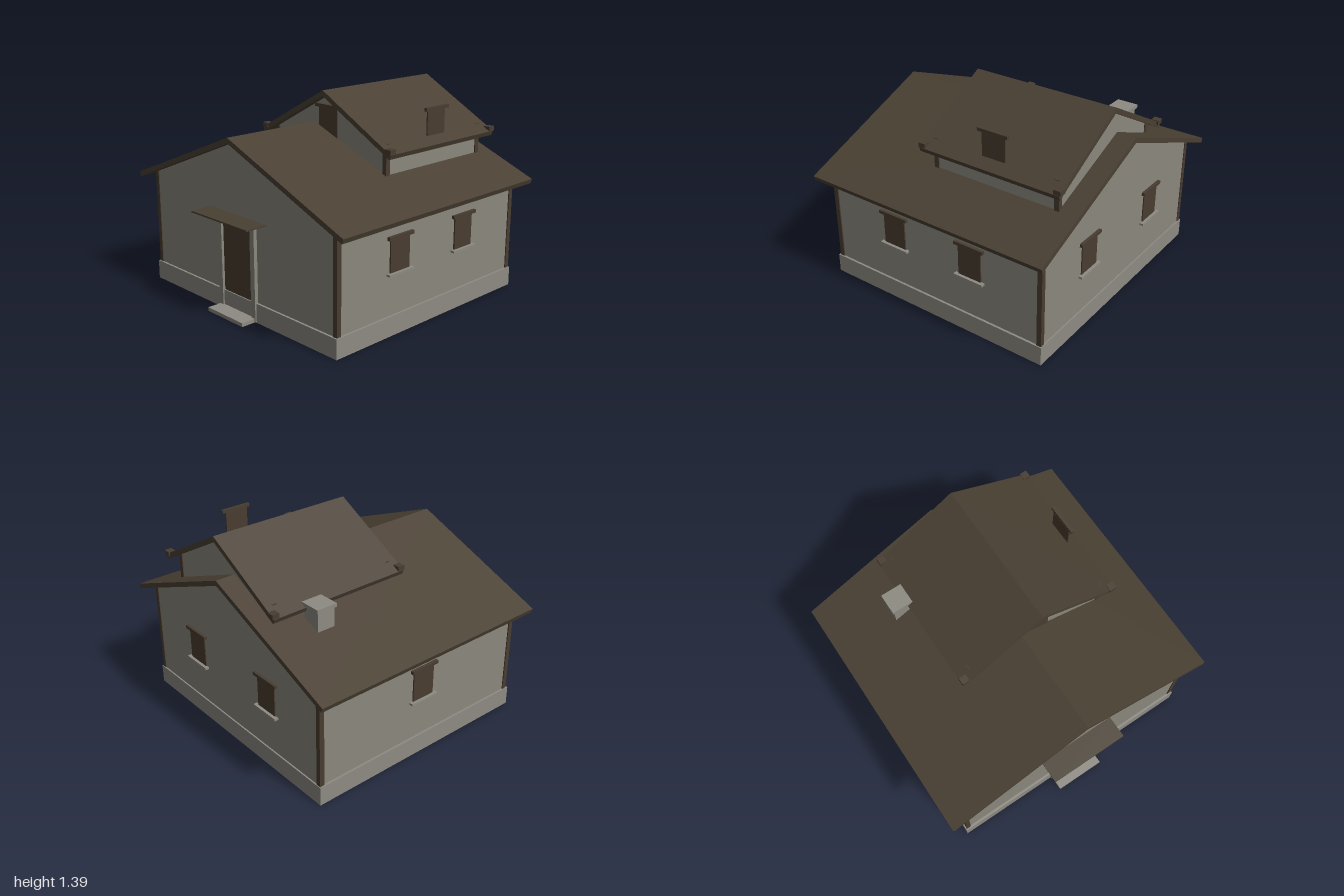
import * as THREE from 'three';

const mat = (name, color) => Object.assign(new THREE.MeshStandardMaterial({ color }), { name });

export function createModel() {
  const house = new THREE.Group();
  house.name = 'house';
  const wall = mat('plaster', 0x8b887d);
  const stone = mat('stone', 0x8d8b82);
  const roof = mat('roofing', 0x4a4033);
  const timber = mat('dark timber', 0x493d31);

  const add = (name, geo, material, parent = house) => {
    const m = new THREE.Mesh(geo, material);
    m.name = name;
    parent.add(m);
    return m;
  };
  // Box given by its limits on each axis
  const box = (name, x0, x1, y0, y1, z0, z1, material, parent) => {
    const g = new THREE.BoxGeometry(x1 - x0, y1 - y0, z1 - z0);
    g.translate((x0 + x1) / 2, (y0 + y1) / 2, (z0 + z1) / 2);
    return add(name, g, material, parent);
  };
  // Outline in x and y, extruded from z0 to z1
  const prism = (name, pts, z0, z1, material) => {
    const shape = new THREE.Shape(pts.map(p => new THREE.Vector2(...p)));
    const g = new THREE.ExtrudeGeometry(shape, { depth: z1 - z0, bevelEnabled: false });
    g.translate(0, 0, z0);
    return add(name, g, material);
  };
  // Gabled block: cx centre, w half width, base, eave and apex heights
  const gable = (name, cx, w, base, eave, apex, z0, z1) => prism(name,
    [[cx - w, base], [cx + w, base], [cx + w, eave], [cx, apex], [cx - w, eave]], z0, z1, wall);
  // Bent roof slab with square-cut eaves
  const roofSlab = (name, cx, w, eave, apex, t, cut, z0, z1) => {
    const s = (apex - eave) / w, low = eave - t + s * cut;
    prism(name, [[cx, apex], [cx - w, eave], [cx - w + cut, low], [cx, apex - t],
      [cx + w - cut, low], [cx + w, eave]], z0, z1, roof);
  };

  // Hollow plinth
  const ring = new THREE.Shape([[-0.9, -0.8], [0.9, -0.8], [0.9, 0.88], [-0.9, 0.88]].map(p => new THREE.Vector2(...p)));
  ring.holes.push(new THREE.Path([[-0.88, -0.78], [-0.88, 0.86], [0.88, 0.86], [0.88, -0.78]].map(p => new THREE.Vector2(...p))));
  const ringGeo = new THREE.ExtrudeGeometry(ring, { depth: 0.13, bevelEnabled: false });
  ringGeo.rotateX(-Math.PI / 2);
  add('plinth', ringGeo, stone);

  // Main house
  gable('mainWalls', 0, 0.885, 0.128, 0.788, 1.142, -0.87, 0.785);
  roofSlab('mainRoof', 0, 1, 0.77, 1.17, 0.035, 0.01, -0.94, 0.85);

  // Raised upper storey, running down through the house
  gable('upperWalls', 0.125, 0.507, 0.03, 1.095, 1.372, -0.805, 0.115);
  roofSlab('upperRoof', 0.125, 0.595, 1.07, 1.395, 0.037, 0.012, -0.86, 0.17);

  // Corner posts
  for (const s of [-1, 1]) {
    const x = s * 0.876;
    for (const z of [0.773, -0.858]) box('cornerPost', x - 0.016, x + 0.016, 0.13, 0.812, z - 0.017, z + 0.017, timber);
    const ux = 0.125 + s * 0.498;
    for (const z of [0.103, -0.793]) box('upperPost', ux - 0.016, ux + 0.016, 0.05, 1.118, z - 0.017, z + 0.017, timber);
    // Beam ends on the upper eaves
    const bx = 0.125 + s * 0.57;
    for (const z of [0.15, -0.845]) box('beamEnd', bx - 0.025, bx + 0.025, 1.072, 1.102, z - 0.025, z + 0.025, timber);
  }

  // Windows, built facing +z and turned onto their wall
  const addWindow = (x, y, z, turn) => {
    const g = new THREE.Group();
    g.name = 'window';
    box('shutter', -0.085, 0.085, 0.012, 0.228, -0.004, 0.005, timber, g);
    box('lintel', -0.11, 0.11, 0.225, 0.247, -0.003, 0.018, timber, g);
    box('sill', -0.11, 0.11, 0, 0.014, -0.003, 0.025, stone, g);
    g.position.set(x, y, z);
    g.rotation.y = turn;
    house.add(g);
  };
  const q = Math.PI / 2;
  for (const z of [0.26, -0.345]) addWindow(0.889, 0.393, z, q);
  addWindow(-0.889, 0.393, -0.04, -q);
  for (const x of [0.38, -0.38]) addWindow(x, 0.393, -0.872, Math.PI);
  addWindow(0.125, 1.05, 0.118, 0);
  addWindow(0.638, 1.05, -0.345, q);

  // Front door
  box('door', -0.143, 0.143, 0.13, 0.617, 0.78, 0.792, timber);
  for (const s of [-1, 1]) box('doorJamb', s * 0.163 - 0.02, s * 0.163 + 0.02, 0.005, 0.625, 0.78, 0.81, wall);
  box('doorLintel', -0.19, 0.19, 0.622, 0.656, 0.78, 0.814, timber);
  box('doorCanopy', -0.275, 0.275, 0.656, 0.666, 0.785, 0.94, roof);
  box('doorStep', -0.175, 0.175, 0.003, 0.028, 0.795, 0.91, stone);

  // Chimney
  box('chimney', -0.57, -0.445, 0.85, 1.075, -0.618, -0.492, stone);
  box('chimneyCap', -0.58, -0.433, 1.072, 1.097, -0.63, -0.482, stone);

  return house;
}
